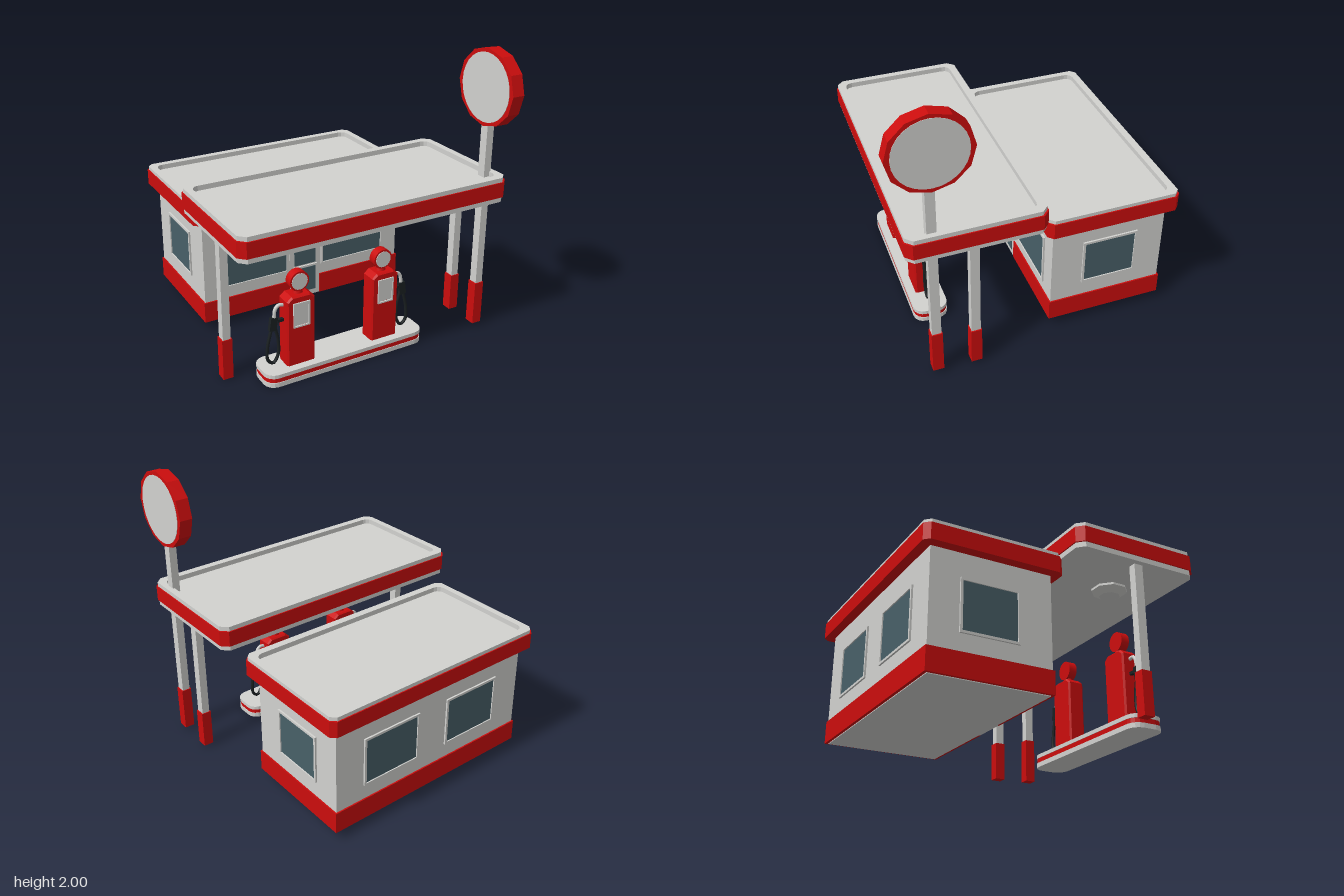
import * as THREE from 'three';
import { toCreasedNormals } from 'three/addons/utils/BufferGeometryUtils.js';

const material = (name, color) => {
  const m = new THREE.MeshStandardMaterial({ color });
  m.name = name;
  return m;
};

export function createModel() {
  const white = material('offWhite', 0xd2d2cf);
  const red = material('red', 0xcc0d0d);
  const glass = material('glass', 0x486068);
  const black = material('black', 0x1a2022);

  const model = new THREE.Group();
  model.name = 'fuelStation';

  const group = (name, parent = model) => {
    const g = new THREE.Group();
    g.name = name;
    parent.add(g);
    return g;
  };
  const add = (parent, name, geometry, mat) => {
    const m = new THREE.Mesh(geometry, mat);
    m.name = name;
    parent.add(m);
    return m;
  };
  // Box given by its minimum and maximum corners
  const box = (parent, name, mat, x0, x1, y0, y1, z0, z1) => {
    const m = add(parent, name, new THREE.BoxGeometry(x1 - x0, y1 - y0, z1 - z0), mat);
    m.position.set((x0 + x1) / 2, (y0 + y1) / 2, (z0 + z1) / 2);
    return m;
  };
  // Rectangle outline with cut corners; steps > 1 rounds the corners
  const outline = (w, d, r, steps = 1) => {
    const points = [];
    const corners = [[1, 1], [-1, 1], [-1, -1], [1, -1]];
    corners.forEach(([sx, sy], i) => {
      for (let k = 0; k <= steps; k++) {
        const a = (i + k / steps) * Math.PI / 2;
        points.push(new THREE.Vector2(
          sx * (w / 2 - r) + r * Math.cos(a), sy * (d / 2 - r) + r * Math.sin(a)));
      }
    });
    return points;
  };
  // Horizontal slab, optionally with an opening
  const slab = (parent, name, mat, cx, cz, y0, y1, outer, inner) => {
    const shape = new THREE.Shape(outer);
    if (inner) shape.holes.push(new THREE.Path(inner));
    const geo = new THREE.ExtrudeGeometry(shape, { depth: y1 - y0, bevelEnabled: false });
    geo.rotateX(-Math.PI / 2);
    add(parent, name, geo, mat).position.set(cx, y0, cz);
  };
  const faceted = (geo) => toCreasedNormals(geo, 0.4);

  // Flat roof: red fascia, raised white rim and sunken deck
  const roof = (name, x0, x1, z0, z1, y0, redBottom, redTop, y1, cut) => {
    const g = group(name);
    const w = x1 - x0, d = z1 - z0, cx = (x0 + x1) / 2, cz = (z0 + z1) / 2;
    const deck = y1 - 0.035;
    slab(g, 'fascia', red, cx, cz, redBottom, redTop,
      outline(w, d, cut), outline(w - 0.04, d - 0.04, cut));
    slab(g, 'deck', white, cx, cz, redBottom + 0.012, deck, outline(w - 0.04, d - 0.04, cut));
    slab(g, 'rim', white, cx, cz, deck, y1,
      outline(w - 0.016, d - 0.016, cut), outline(w - 0.11, d - 0.12, 0.05, 3));
    if (y0 < redBottom) {
      slab(g, 'soffit', white, cx, cz, y0, redBottom + 0.012, outline(w - 0.016, d - 0.016, cut));
    } else {
      slab(g, 'soffit', red, cx, cz, redBottom, redBottom + 0.012, outline(w - 0.04, d - 0.04, cut));
    }
  };
  roof('canopy', -0.97, 0.97, -0.01, 0.9, 1.0, 1.035, 1.14, 1.17, 0.045);
  roof('shopRoof', -0.86, 0.86, -0.98, -0.05, 0.835, 0.835, 0.945, 0.97, 0.035);

  // Shop walls and red plinth, interrupted at the door
  const shop = group('shop');
  box(shop, 'walls', white, -0.79, 0.785, 0.2, 0.845, -0.915, -0.11);
  box(shop, 'plinth', red, -0.8, 0.795, 0.07, 0.22, -0.925, -0.14);
  box(shop, 'plinthFrontRight', red, -0.8, -0.13, 0.07, 0.22, -0.14, -0.1);
  box(shop, 'plinthFrontLeft', red, 0.115, 0.795, 0.07, 0.22, -0.14, -0.1);
  box(shop, 'floor', white, -0.78, 0.775, 0.065, 0.072, -0.905, -0.12);

  // Framed window facing +z before it is turned
  const windowUnit = (name, w, h, x, y, z, turn) => {
    const g = group(name, shop);
    g.position.set(x, y, z);
    g.rotation.y = turn;
    box(g, 'pane', glass, -w / 2, w / 2, -h / 2, h / 2, -0.002, 0.004);
    const t = 0.016;
    for (const s of [-1, 1]) {
      box(g, 'frameSide', white, s * (w / 2 + t / 2) - t / 2, s * (w / 2 + t / 2) + t / 2,
        -h / 2 - t, h / 2 + t, -0.004, 0.012);
      box(g, 'frameRail', white, -w / 2, w / 2,
        s * (h / 2 + t / 2) - t / 2, s * (h / 2 + t / 2) + t / 2, -0.004, 0.012);
    }
  };
  windowUnit('frontWindowRight', 0.5, 0.355, -0.405, 0.49, -0.11, 0);
  windowUnit('frontWindowLeft', 0.5, 0.355, 0.395, 0.49, -0.11, 0);
  for (const s of [-1, 1]) {
    windowUnit('sideWindow', 0.36, 0.31, s > 0 ? 0.785 : -0.79, 0.505, -0.525, s * Math.PI / 2);
    windowUnit('backWindow', 0.42, 0.32, s * 0.345, 0.5, -0.915, Math.PI);
  }

  // Door with two panes, a transom and a push bar
  const door = group('door', shop);
  box(door, 'doorFrame', white, -0.13, 0.115, 0.07, 0.675, -0.14, -0.104);
  box(door, 'lowerPane', glass, -0.092, 0.08, 0.11, 0.3, -0.106, -0.1);
  box(door, 'upperPane', glass, -0.092, 0.08, 0.33, 0.57, -0.106, -0.1);
  box(door, 'transomPane', glass, -0.115, 0.1, 0.615, 0.655, -0.106, -0.1);
  box(door, 'pushBar', white, -0.1, 0.09, 0.308, 0.322, -0.104, -0.09);

  // Canopy posts with red feet; the front left one carries the sign
  const post = (name, x, z, y0, redTop, top) => {
    const g = group(name);
    box(g, 'shaft', white, x - 0.027, x + 0.027, redTop - 0.02, top, z - 0.031, z + 0.031);
    box(g, 'foot', red, x - 0.035, x + 0.035, y0, redTop, z - 0.037, z + 0.037);
  };
  post('rightPost', -0.897, 0.465, 0, 0.285, 1.01);
  post('leftPost', 0.897, 0.465, 0.015, 0.285, 1.01);
  post('signPost', 0.9, 0.728, 0.03, 0.345, 1.52);

  // Twelve-sided sign with a round face on each side
  const sign = group('sign');
  sign.position.set(0.91, 1.742, 0.718);
  const rim = new THREE.CylinderGeometry(0.262, 0.262, 0.088, 12);
  rim.rotateZ(Math.PI / 2);
  rim.scale(1, 0.985, 1.015);
  add(sign, 'signRim', faceted(rim), red);
  const face = new THREE.CylinderGeometry(0.23, 0.23, 0.094, 28);
  face.rotateZ(Math.PI / 2);
  add(sign, 'signFaces', toCreasedNormals(face, 0.6), white);

  // Lamps below the canopy
  for (const x of [-0.53, 0.515]) {
    const lamp = add(model, 'canopyLamp',
      faceted(new THREE.CylinderGeometry(0.122, 0.07, 0.035, 8)), white);
    lamp.rotation.y = Math.PI / 8;
    lamp.position.set(x, 0.968, 0.52);
    const collar = add(model, 'lampCollar',
      faceted(new THREE.CylinderGeometry(0.122, 0.122, 0.018, 8)), white);
    collar.rotation.y = Math.PI / 8;
    collar.position.set(x, 0.994, 0.52);
  }

  // Pump island in three layers
  const island = group('island');
  const kerb = (inset) => outline(1.19 - inset, 0.24 - inset, 0.075, 4);
  slab(island, 'islandBase', white, -0.135, 0.625, 0, 0.032, kerb(0));
  slab(island, 'islandStripe', red, -0.135, 0.625, 0.032, 0.064, kerb(0.008));
  slab(island, 'islandTop', white, -0.135, 0.625, 0.064, 0.09, kerb(0));

  // Fuel pumps; side says where the hose hangs
  const tube = (points, radius, segments) => new THREE.TubeGeometry(
    new THREE.CatmullRomCurve3(points.map(([x, y, z]) => new THREE.Vector3(x, y, z))),
    segments, radius, 8);
  const pump = (name, x, side) => {
    const g = group(name);
    g.position.set(x, 0, 0.63);

    const shape = new THREE.Shape([[-0.09, 0.09], [0.09, 0.09], [0.09, 0.545], [0.06, 0.57],
      [-0.06, 0.57], [-0.09, 0.545]].map(([a, b]) => new THREE.Vector2(a, b)));
    const body = new THREE.ExtrudeGeometry(shape,
      { depth: 0.096, bevelThickness: 0.012, bevelSize: 0.01, bevelSegments: 1 });
    body.translate(0, 0, -0.048);
    add(g, 'pumpBody', body, red);

    box(g, 'display', white, -0.05, 0.05, 0.375, 0.525, 0.058, 0.064);
    for (const s of [-1, 1]) {
      box(g, 'displaySide', white, s * 0.054 - 0.005, s * 0.054 + 0.005, 0.362, 0.535, 0.058, 0.069);
    }
    box(g, 'displayTop', white, -0.05, 0.05, 0.51, 0.535, 0.058, 0.069);
    box(g, 'displayBottom', white, -0.05, 0.05, 0.362, 0.372, 0.058, 0.069);

    // Neck and round topper
    const neck = add(g, 'neck', new THREE.CylinderGeometry(0.026, 0.036, 0.04, 12), red);
    neck.position.set(side * -0.004, 0.592, 0);
    const globe = new THREE.CylinderGeometry(0.068, 0.068, 0.06, 20);
    globe.rotateX(Math.PI / 2);
    add(g, 'topper', toCreasedNormals(globe, 0.6), red).position.set(side * -0.004, 0.664, 0);
    const dial = new THREE.CylinderGeometry(0.056, 0.056, 0.006, 20);
    dial.rotateX(Math.PI / 2);
    add(g, 'topperFace', toCreasedNormals(dial, 0.6), white)
      .position.set(side * -0.004, 0.664, 0.031);

    // Spout, nozzle and hanging hose
    add(g, 'spout', tube([[0.09, 0.51, 0], [0.13, 0.518, 0], [0.155, 0.495, 0], [0.165, 0.43, 0]]
      .map(([a, b, c]) => [side * a, b, c]), 0.012, 12), white);
    const grip = box(g, 'nozzle', black, -0.024, 0.024, -0.045, 0.045, -0.014, 0.014);
    grip.position.set(side * 0.172, 0.395, 0);
    grip.rotation.z = side * 0.15;
    box(g, 'holster', black, side * 0.12 - 0.022, side * 0.12 + 0.022, 0.4, 0.42, -0.012, 0.012);
    add(g, 'hose', tube([[0.16, 0.37, 0], [0.138, 0.27, 0], [0.14, 0.16, 0], [0.175, 0.11, 0],
      [0.212, 0.14, 0], [0.214, 0.23, 0], [0.195, 0.32, 0], [0.178, 0.38, 0]]
      .map(([a, b, c]) => [side * a, b, c]), 0.011, 40), black);
  };
  pump('rightPump', -0.465, -1);
  pump('leftPump', 0.165, 1);

  return model;
}
